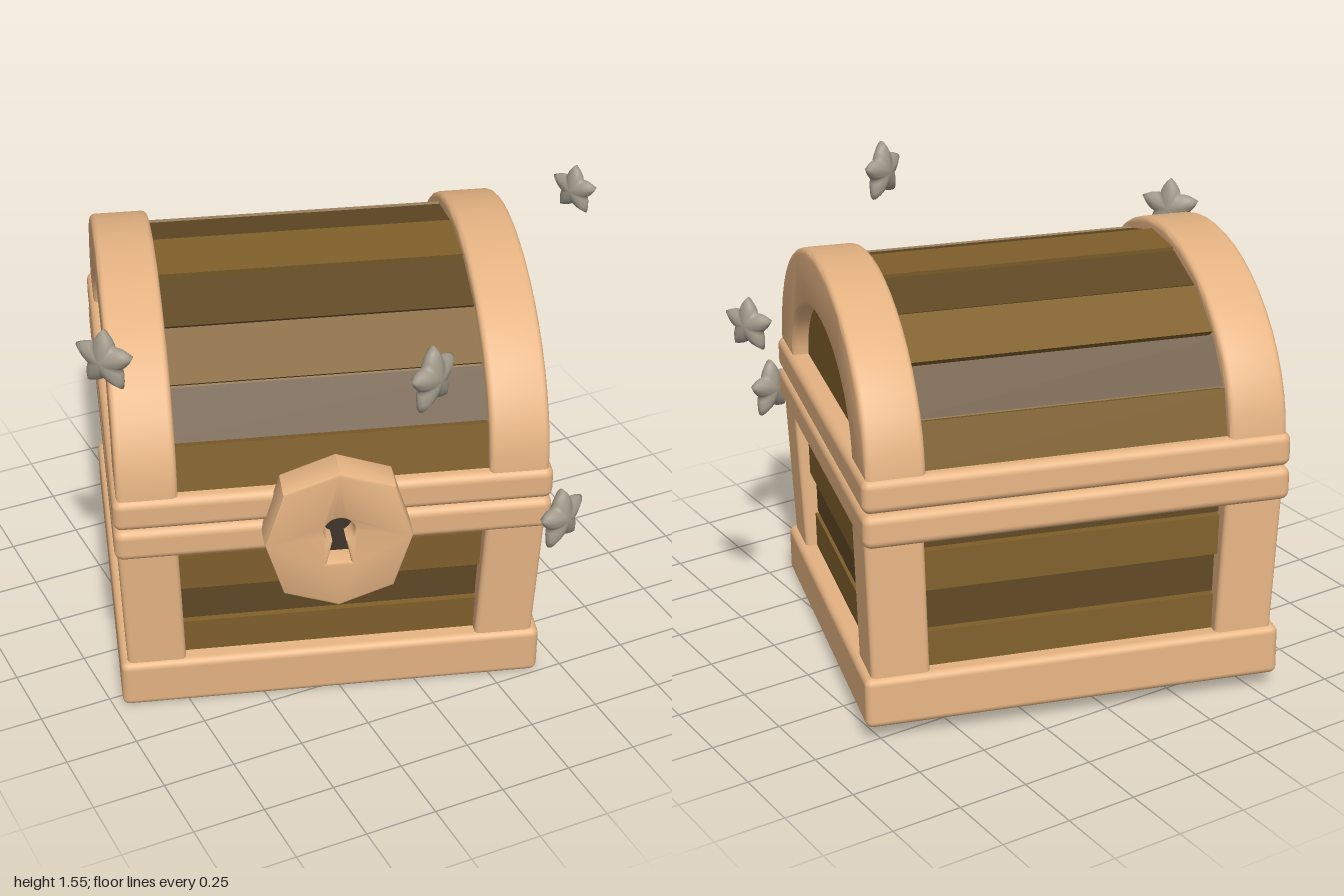
import * as THREE from 'three';
import { RoundedBoxGeometry } from 'three/addons/geometries/RoundedBoxGeometry.js';
import { toCreasedNormals } from 'three/addons/utils/BufferGeometryUtils.js';

const material = (color) => new THREE.MeshStandardMaterial({ color });
const trim = material(0xe6b483);
const lightWood = material(0x80602c);
const darkWood = material(0x604824);
const shadow = material(0x40362c);
const starGrey = material(0xa39b8c);

function add(parent, name, geometry, mat, x = 0, y = 0, z = 0) {
  const mesh = new THREE.Mesh(geometry, mat);
  mesh.name = name;
  mesh.position.set(x, y, z);
  parent.add(mesh);
  return mesh;
}

// Band of an ellipse between two angles, from inner to outer semi-axes
function arcBand(outer, inner, t0, t1, steps) {
  const points = [];
  const arc = ([a, b], from, to) => {
    for (let i = 0; i <= steps; i++) {
      const t = from + ((to - from) * i) / steps;
      points.push(new THREE.Vector2(a * Math.cos(t), b * Math.sin(t)));
    }
  };
  arc(outer, t0, t1);
  arc(inner, t1, t0);
  return new THREE.Shape(points);
}

// Extrude a (z, y) profile along x, centred on x = 0
function extrudeAlongX(shape, length, bevel = 0) {
  const geometry = new THREE.ExtrudeGeometry(shape, {
    depth: length - 2 * bevel, bevelEnabled: bevel > 0, bevelSize: bevel,
    bevelThickness: bevel, bevelOffset: -bevel, bevelSegments: 3,
  });
  geometry.translate(0, 0, bevel - length / 2).rotateY(Math.PI / 2);
  return toCreasedNormals(geometry, 0.6);
}

// Puffy five-pointed star made from a reshaped sphere
function starGeometry(radius) {
  const geometry = new THREE.SphereGeometry(1, 40, 14).rotateX(Math.PI / 2);
  const p = geometry.attributes.position;
  const sector = (Math.PI * 2) / 5;
  for (let i = 0; i < p.count; i++) {
    const x = p.getX(i), y = p.getY(i);
    const turn = (Math.atan2(x, y) + Math.PI * 4) / sector;
    const valley = Math.abs(turn - Math.round(turn)) * 2;
    const r = radius * (1.02 - 0.44 * Math.pow(valley, 0.85));
    p.setXYZ(i, x * r, y * r, p.getZ(i) * radius * 0.33);
  }
  geometry.computeVertexNormals();
  return geometry;
}

function buildBody(chest) {
  add(chest, 'base', new RoundedBoxGeometry(1.45, 0.18, 1.33, 3, 0.025), trim, 0, 0.09, 0);
  add(chest, 'bodyCore', new THREE.BoxGeometry(1.25, 0.6, 1.15), shadow, 0, 0.45, 0);

  // Horizontal boards, widening upwards
  for (let i = 0; i < 4; i++) {
    const out = i * 0.012 - (i % 2) * 0.03;
    add(chest, 'bodyPlank', new THREE.BoxGeometry(1.32 + out, 0.142, 1.21 + out * 1.4),
      i % 2 ? darkWood : lightWood, 0, 0.235 + i * 0.15, 0);
  }

  // Corner posts leaning outwards
  for (const sx of [-1, 1]) for (const sz of [-1, 1]) {
    const geometry = new RoundedBoxGeometry(0.2, 0.56, 0.2, 3, 0.018);
    const p = geometry.attributes.position;
    for (let i = 0; i < p.count; i++) {
      const k = (p.getY(i) + 0.28) / 0.56;
      p.setX(i, p.getX(i) + sx * k * 0.018);
      p.setZ(i, p.getZ(i) + sz * k * 0.035);
    }
    add(chest, 'cornerPost', geometry, trim, sx * 0.6, 0.44, sz * 0.547);
  }

  // Two rims where the lid meets the body
  add(chest, 'bodyRim', new RoundedBoxGeometry(1.455, 0.118, 1.45, 3, 0.03), trim, 0, 0.735, 0);
  add(chest, 'lidRim', new RoundedBoxGeometry(1.455, 0.118, 1.45, 3, 0.03), trim, 0, 0.857, 0);
}

function buildLid(chest) {
  const lid = new THREE.Group();
  lid.name = 'lid';
  lid.position.y = 0.905;
  chest.add(lid);

  // Solid inside whose ends show as the recessed side panels
  const core = arcBand([0.63, 0.45], [0, 0], 0, Math.PI, 24);
  add(lid, 'lidEndPanels', extrudeAlongX(core, 1.31), lightWood);

  // Curved roof of nine boards
  const step = Math.PI / 9;
  for (let i = 0; i < 9; i++) {
    const lift = i % 2 ? 0 : 0.008;
    const board = arcBand([0.675 + lift, 0.487 + lift], [0.58, 0.4],
      i * step + 0.008, (i + 1) * step - 0.008, 1);
    add(lid, 'lidPlank', extrudeAlongX(board, 1.2), i % 2 ? darkWood : lightWood);
  }

  // End arches
  const arch = extrudeAlongX(arcBand([0.71, 0.525], [0.495, 0.325], 0, Math.PI, 24), 0.2, 0.018);
  for (const sx of [-1, 1]) add(lid, 'lidArch', arch, trim, sx * 0.613, 0, 0);
}

function buildLock(chest) {
  const plate = new THREE.Shape();
  for (let i = 0; i < 8; i++) {
    const a = (i * Math.PI) / 4;
    const reach = i % 2 ? 1.06 : 1;
    plate[i ? 'lineTo' : 'moveTo'](0.245 * reach * Math.cos(a), 0.27 * reach * Math.sin(a));
  }
  plate.closePath();

  const hole = new THREE.Path();
  hole.moveTo(0.022, -0.005);
  hole.absarc(0, 0.04, 0.05, -1.1, Math.PI + 1.1, false);
  hole.lineTo(-0.04, -0.09);
  hole.lineTo(0.04, -0.09);
  hole.closePath();
  plate.holes.push(hole);

  const geometry = new THREE.ExtrudeGeometry(plate, {
    depth: 0.1, bevelSize: 0.01, bevelThickness: 0.01, bevelOffset: -0.01, bevelSegments: 2,
  });
  add(chest, 'lockPlate', toCreasedNormals(geometry, 0.5), trim, 0, 0.77, 0.71);
  add(chest, 'keyholeBack', new THREE.BoxGeometry(0.14, 0.2, 0.04), shadow, 0, 0.77, 0.73);
}

export function createModel() {
  const model = new THREE.Group();
  model.name = 'treasureChest';

  // Chest, turned and pitched slightly forward
  const chest = new THREE.Group();
  chest.name = 'chest';
  chest.rotation.set(0.045, -0.307, 0, 'YXZ');
  chest.position.set(-0.08, 0.032, -0.105);
  model.add(chest);
  buildBody(chest);
  buildLid(chest);
  buildLock(chest);

  // Floating stars: position, radius, turn
  const stars = [
    [-0.935, 1.345, 0.22, 0.11, -0.945],
    [-0.115, 1.44, 0.905, 0.113, 0.51],
    [0.418, 0.715, 0.838, 0.11, 0.42],
    [0.957, 1.395, -0.07, 0.092, -1.13],
  ];
  for (const [x, y, z, radius, turn] of stars) {
    add(model, 'star', starGeometry(radius), starGrey, x, y, z).rotation.y = turn;
  }
  return model;
}
